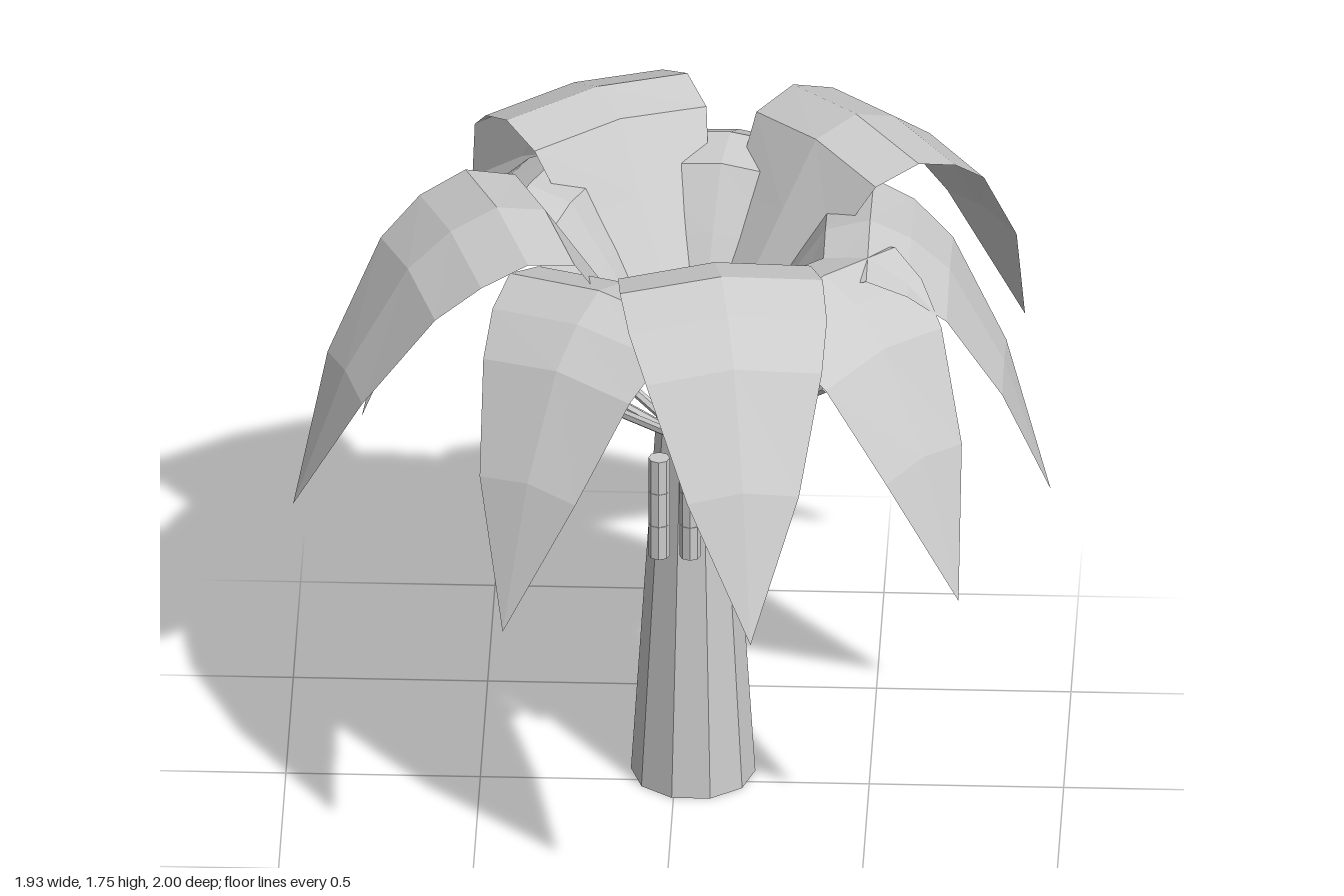
import * as THREE from 'three';

const CENTER_X = 0.045, CENTER_Z = -0.06;

// Leaf profile rows: [distance from trunk axis, height, half width]
const BIG_LEAF = [
  [0, 1.08, 0.01], [0.15, 1.33, 0.11], [0.29, 1.55, 0.2], [0.4, 1.72, 0.25], [0.53, 1.75, 0.263],
  [0.655, 1.7, 0.257], [0.77, 1.61, 0.228], [0.94, 1.34, 0.145], [1.08, 0.97, 0],
];
const SMALL_LEAF = [
  [0, 1.08, 0.01], [0.13, 1.27, 0.11], [0.24, 1.45, 0.2], [0.34, 1.6, 0.255], [0.455, 1.63, 0.27],
  [0.56, 1.58, 0.257], [0.66, 1.49, 0.222], [0.8, 1.225, 0.145], [0.92, 0.845, 0],
];

// Arched blade along +x with a raised midrib
function leafGeometry(rows) {
  const positions = [], index = [];
  rows.forEach(([r, y, w], i) => {
    const drop = 0.03 * Math.min(1, w / 0.2);
    positions.push(r, y - drop, -w, r, y, 0, r, y - drop, w);
    if (i === 0) return;
    for (let c = 0; c < 2; c++) {
      const a = (i - 1) * 3 + c, b = i * 3 + c;
      index.push(a, a + 1, b, a + 1, b + 1, b);
    }
  });
  const geometry = new THREE.BufferGeometry();
  geometry.setAttribute('position', new THREE.Float32BufferAttribute(positions, 3));
  geometry.setIndex(index);
  geometry.computeVertexNormals();
  return geometry;
}

// Thin rod between two points
function rodGeometry(a, b, radius) {
  const dir = b.clone().sub(a);
  const geometry = new THREE.CylinderGeometry(radius, radius, dir.length(), 6);
  geometry.applyQuaternion(new THREE.Quaternion().setFromUnitVectors(new THREE.Vector3(0, 1, 0), dir.normalize()));
  const mid = a.clone().add(b).multiplyScalar(0.5);
  return geometry.translate(mid.x, mid.y, mid.z);
}

export function createModel() {
  const model = new THREE.Group();
  model.name = 'palmTree';
  const grey = new THREE.MeshStandardMaterial({ color: 0xcccccc, flatShading: true, side: THREE.DoubleSide });
  grey.name = 'plainGrey';

  const add = (parent, name, geometry) => {
    const mesh = new THREE.Mesh(geometry, grey);
    mesh.name = name;
    parent.add(mesh);
    return mesh;
  };

  // Tapered ten-sided trunk
  const trunk = add(model, 'trunk', new THREE.CylinderGeometry(0.09, 0.16, 1.12, 10));
  trunk.position.set(CENTER_X, 0.56, CENTER_Z);
  trunk.rotation.y = Math.PI / 10;

  // Crown of nine leaves, each with a stalk beneath it
  const crown = new THREE.Group();
  crown.name = 'crown';
  crown.position.set(CENTER_X, 0, CENTER_Z);
  model.add(crown);
  const bigLeaf = leafGeometry(BIG_LEAF), smallLeaf = leafGeometry(SMALL_LEAF);
  const stalkBase = new THREE.Vector3(0.05, 1.0, 0);
  const bigStalk = rodGeometry(stalkBase, new THREE.Vector3(0.53, 1.37, 0), 0.013);
  const smallStalk = rodGeometry(stalkBase, new THREE.Vector3(0.46, 1.3, 0), 0.013);
  for (let i = 0; i < 9; i++) {
    const big = i > 0 && i % 2 === 0;
    const frond = new THREE.Group();
    frond.name = 'frond';
    frond.rotation.y = -i * Math.PI * 2 / 9;
    add(frond, 'leaf', big ? bigLeaf : smallLeaf);
    add(frond, 'stalk', big ? bigStalk : smallStalk);
    crown.add(frond);
  }

  // Three hanging columns of stacked fruit in front of the trunk
  const fruit = new THREE.CylinderGeometry(0.028, 0.028, 0.095, 8);
  for (let column = -1; column <= 1; column++) {
    for (let tier = 0; tier < 3; tier++) {
      add(model, 'fruit', fruit).position.set(CENTER_X + column * 0.08, 0.79 + tier * 0.096, 0.138);
    }
  }
  return model;
}
